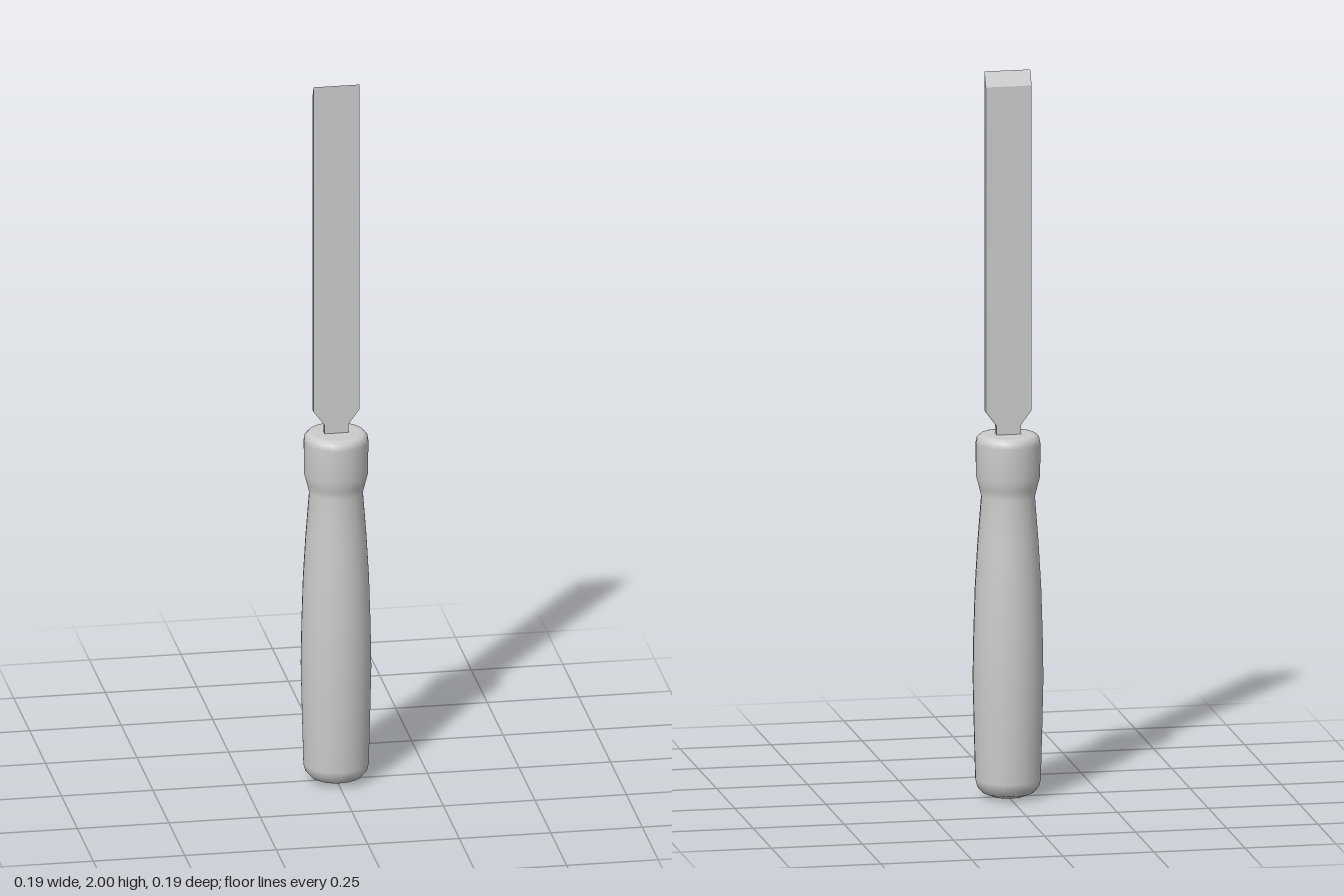
import * as THREE from 'three';

const material = new THREE.MeshStandardMaterial({ color: 0xcccccc });

// Turned handle: rounded butt, swelling grip, narrow neck and collar
function makeHandle() {
  const profile = [
    [0, 0], [0.045, 0.004], [0.07, 0.014], [0.084, 0.03], [0.089, 0.05],
    [0.093, 0.2], [0.096, 0.33], [0.094, 0.45], [0.09, 0.58], [0.083, 0.7],
    [0.073, 0.83], [0.079, 0.855], [0.087, 0.885], [0.088, 0.975],
    [0.085, 0.99], [0.076, 0.999], [0.06, 1], [0, 1],
  ].map(([r, y]) => new THREE.Vector2(r, y));
  const handle = new THREE.Mesh(new THREE.LatheGeometry(profile, 20), material);
  handle.name = 'handle';
  return handle;
}

// Flat blade with a narrow tang, sloped shoulders and a cutting bevel on the back
function makeBlade() {
  const halfWidth = 0.063, halfTang = 0.033, thickness = 0.02, top = 2, bevel = 0.04;
  const right = [[halfTang, 0.98], [halfTang, 1.025], [halfWidth, 1.065], [halfWidth, top]];
  const left = right.map(([x, y]) => [-x, y]).reverse();
  const outline = new THREE.Shape([...right, ...left].map(([x, y]) => new THREE.Vector2(x, y)));
  const geometry = new THREE.ExtrudeGeometry(outline, { depth: thickness, bevelEnabled: false });
  geometry.translate(0, 0, -thickness / 2);

  // Lower the back top edge to form the bevel
  const position = geometry.attributes.position;
  for (let i = 0; i < position.count; i++) {
    if (position.getY(i) > top - 0.001 && position.getZ(i) < 0) position.setY(i, top - bevel);
  }
  geometry.computeVertexNormals();
  const blade = new THREE.Mesh(geometry, material);
  blade.name = 'blade';
  return blade;
}

export function createModel() {
  const chisel = new THREE.Group();
  chisel.name = 'chisel';
  chisel.add(makeHandle(), makeBlade());
  return chisel;
}
